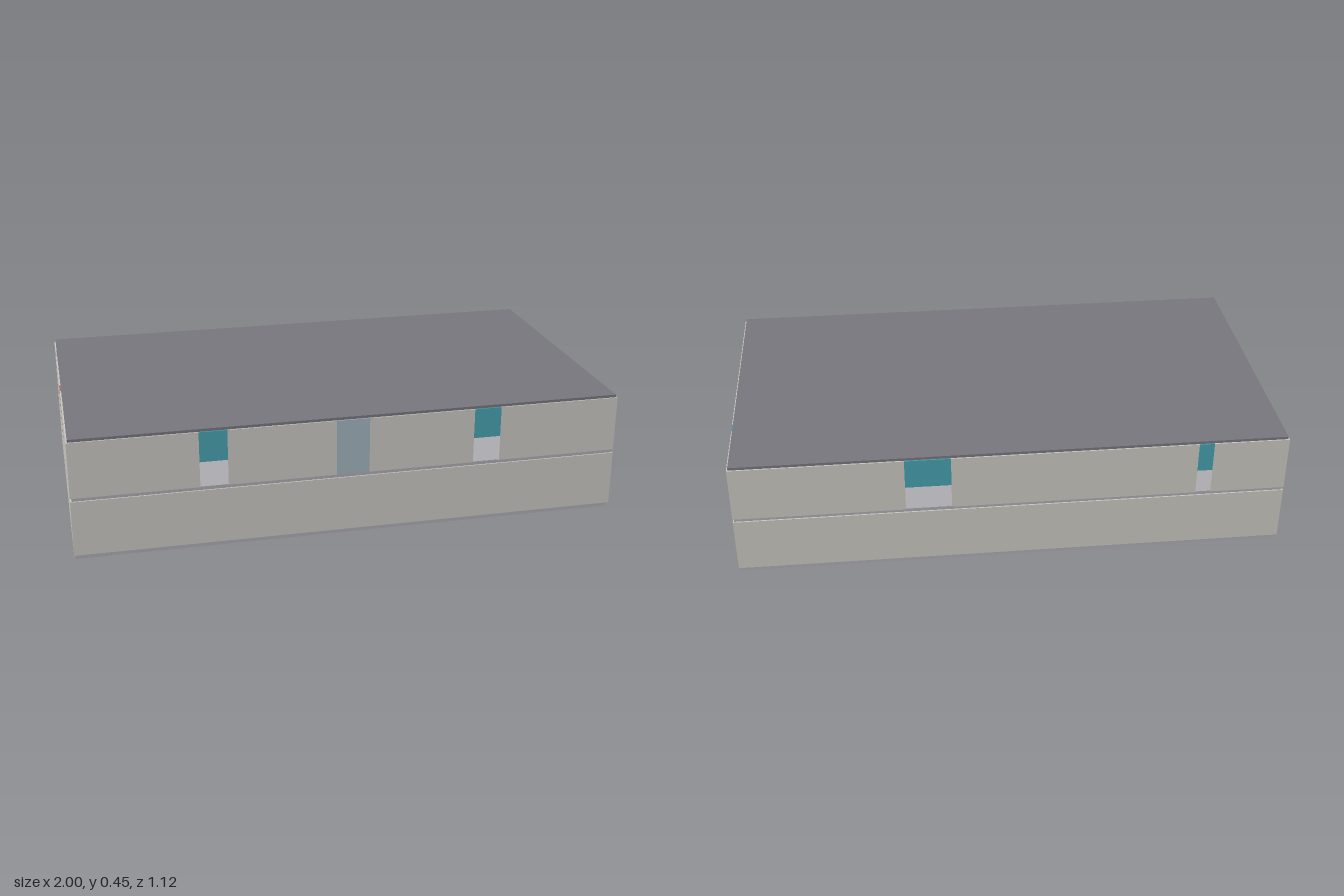
import * as THREE from 'three';

const paint = (color) => new THREE.MeshStandardMaterial({ color });

export function createModel() {
  const model = new THREE.Group();
  const mats = {
    wall: paint(0xc8c6c0), roof: paint(0x77767e), slab: paint(0xacaab0),
    lintel: paint(0x46a0ae), window: paint(0xa0b2be), redPanel: paint(0xc0605a),
    crate: paint(0x8a8a84),
  };
  const T = 0.01, HX = 1, HZ = 0.56;

  // Box given by its lower and upper corners
  function box(parent, name, mat, x0, x1, y0, y1, z0, z1) {
    const mesh = new THREE.Mesh(new THREE.BoxGeometry(x1 - x0, y1 - y0, z1 - z0), mats[mat]);
    mesh.name = name;
    mesh.position.set((x0 + x1) / 2, (y0 + y1) / 2, (z0 + z1) / 2);
    parent.add(mesh);
  }

  // One wall, split along its length at the openings; doors stay open below a lintel
  function wall(name, axis, at, half, y0, y1, openings = []) {
    const group = new THREE.Group();
    group.name = name;
    const piece = (label, mat, a, b, bottom) => axis === 'x'
      ? box(group, label, mat, a, b, bottom, y1, at - T / 2, at + T / 2)
      : box(group, label, mat, at - T / 2, at + T / 2, bottom, y1, a, b);
    let from = -half;
    for (const [a, b, kind] of openings) {
      piece('wallPanel', 'wall', from, a, y0);
      if (kind === 'door') piece('doorLintel', 'lintel', a, b, 0.328);
      else piece(kind, kind, a, b, y0);
      from = b;
    }
    piece('wallPanel', 'wall', from, half, y0);
    model.add(group);
  }

  function storey(prefix, y0, y1, o = {}) {
    wall(prefix + 'FrontWall', 'x', HZ - T / 2, HX, y0, y1, o.front);
    wall(prefix + 'BackWall', 'x', -HZ + T / 2, HX, y0, y1, o.back);
    wall(prefix + 'LeftWall', 'z', HX - T / 2, HZ - T, y0, y1, o.left);
    wall(prefix + 'RightWall', 'z', -HX + T / 2, HZ - T, y0, y1, o.right);
  }

  // Floor slabs and roof sit slightly inside the wall faces
  const slab = (name, mat, y0, y1) => box(model, name, mat, -0.995, 0.995, y0, y1, -0.555, 0.555);
  slab('groundSlab', 'slab', 0, 0.015);
  slab('middleSlab', 'slab', 0.22, 0.233);
  slab('roofSlab', 'roof', 0.44, 0.45);

  // Closed lower storey, upper storey with doors and panels
  storey('lower', 0.015, 0.22);
  storey('upper', 0.233, 0.44, {
    front: [[-0.55, -0.45, 'door'], [-0.06, 0.06, 'window'], [0.45, 0.55, 'door']],
    back: [[-0.725, -0.67, 'door'], [0.22, 0.385, 'door']],
    left: [[-0.303, -0.253, 'door']],
    right: [[-0.43, -0.357, 'window'], [-0.02, 0.04, 'redPanel']],
  });

  // Low blocks standing behind the front doors
  box(model, 'rightInnerBlock', 'crate', -0.62, -0.49, 0.233, 0.305, 0.2, 0.33);
  box(model, 'leftInnerBlock', 'crate', 0.51, 0.64, 0.233, 0.305, 0.2, 0.33);

  return model;
}
